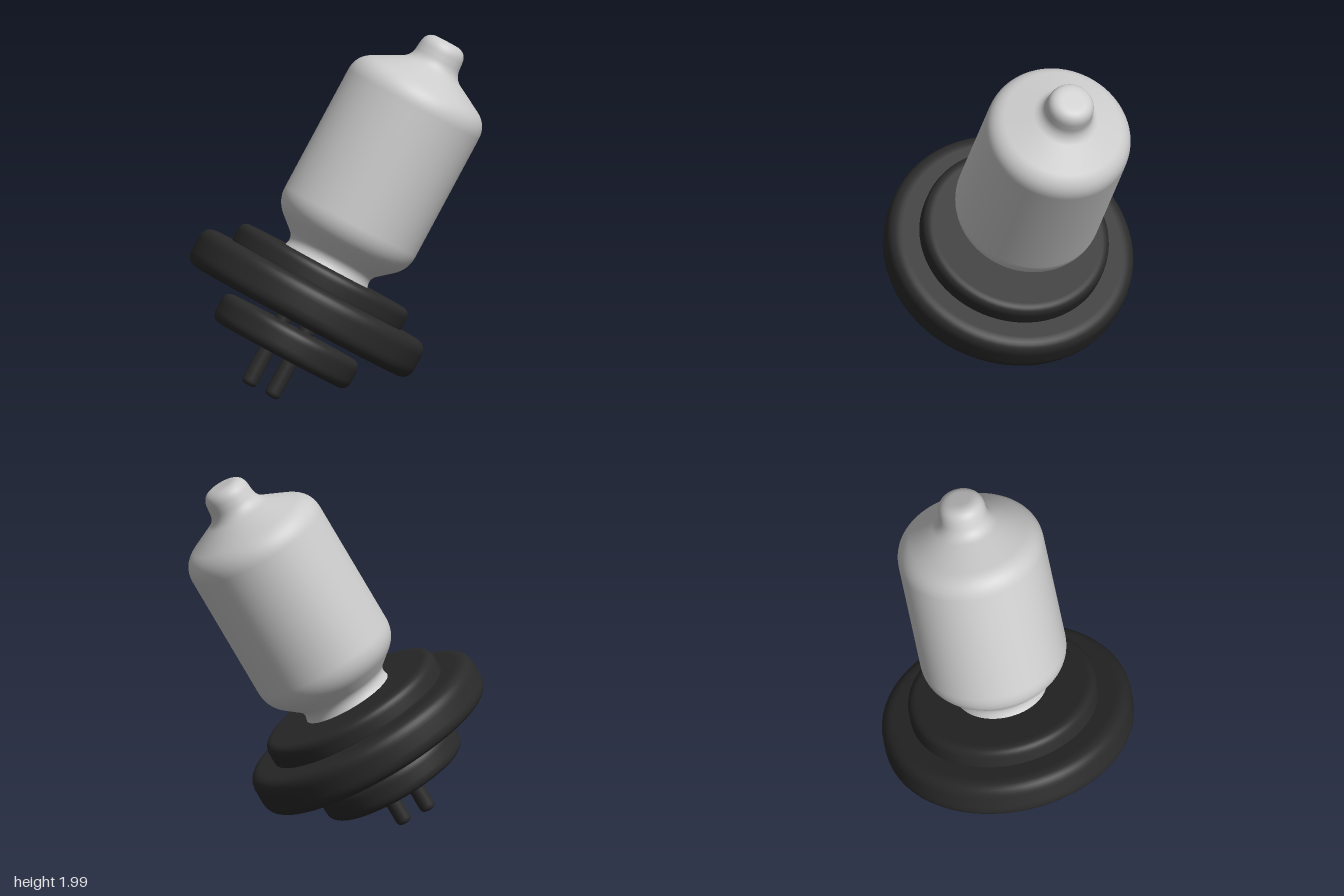
import * as THREE from 'three';

// Profile through [radius, height, fillet] corners, listed bottom to top.
function filletProfile(corners) {
  const pts = corners.map(([r, y]) => new THREE.Vector2(r, y));
  const out = [pts[0]];
  for (let i = 1; i < pts.length - 1; i++) {
    const p = pts[i], f = corners[i][2];
    const toward = (q) => p.clone().add(q.clone().sub(p).setLength(f));
    const bend = new THREE.QuadraticBezierCurve(toward(pts[i - 1]), p, toward(pts[i + 1]));
    out.push(...bend.getPoints(8));
  }
  out.push(pts[pts.length - 1]);
  return out;
}

function lathe(name, corners, material, segments = 64) {
  const mesh = new THREE.Mesh(new THREE.LatheGeometry(filletProfile(corners), segments), material);
  mesh.name = name;
  return mesh;
}

// Solid disc with rounded rims
function disc(name, radius, bottom, top, fillet, material, segments) {
  return lathe(name, [
    [0, bottom], [radius, bottom, fillet], [radius, top, fillet], [0, top],
  ], material, segments);
}

export function createModel() {
  const glass = new THREE.MeshStandardMaterial({ color: 0xcccccc });
  glass.name = 'pale grey';
  const rubber = new THREE.MeshStandardMaterial({ color: 0x2a2a2a });
  rubber.name = 'near black';

  const model = new THREE.Group();
  model.name = 'tiltedBulb';

  // Everything turns about one leaning axis
  const assembly = new THREE.Group();
  assembly.name = 'assembly';
  const axis = new THREE.Vector3(0.424, 0.866, 0.264).normalize();
  const across = new THREE.Vector3(0.67, -0.47, 0.57);
  across.addScaledVector(axis, -across.dot(axis)).normalize();
  const third = new THREE.Vector3().crossVectors(across, axis);
  assembly.quaternion.setFromRotationMatrix(new THREE.Matrix4().makeBasis(across, axis, third));
  assembly.position.set(-0.39, 0, -0.187);
  model.add(assembly);

  // Bulb: flared neck, straight body, sloping shoulder and capped tip
  assembly.add(lathe('bulb', [
    [0, 0.82], [0.265, 0.82, 0.01], [0.24, 0.89, 0.045],
    [0.41, 1.035, 0.085], [0.41, 1.945, 0.09],
    [0.14, 2.09, 0.05], [0.125, 2.25, 0.07], [0, 2.25],
  ], glass, 72));

  // Stacked base discs
  assembly.add(disc('upperDisc', 0.53, 0.68, 0.84, 0.055, rubber));
  assembly.add(disc('flangeDisc', 0.7, 0.492, 0.722, 0.08, rubber));
  assembly.add(disc('lowerDisc', 0.425, 0.28, 0.457, 0.06, rubber));

  // Pair of pins passing through the lower disc
  for (const side of [-1, 1]) {
    const pin = disc(side > 0 ? 'frontPin' : 'backPin', 0.045, 0.055, 0.6, 0.03, rubber, 24);
    pin.position.x = side * 0.075;
    assembly.add(pin);
  }
  return model;
}
